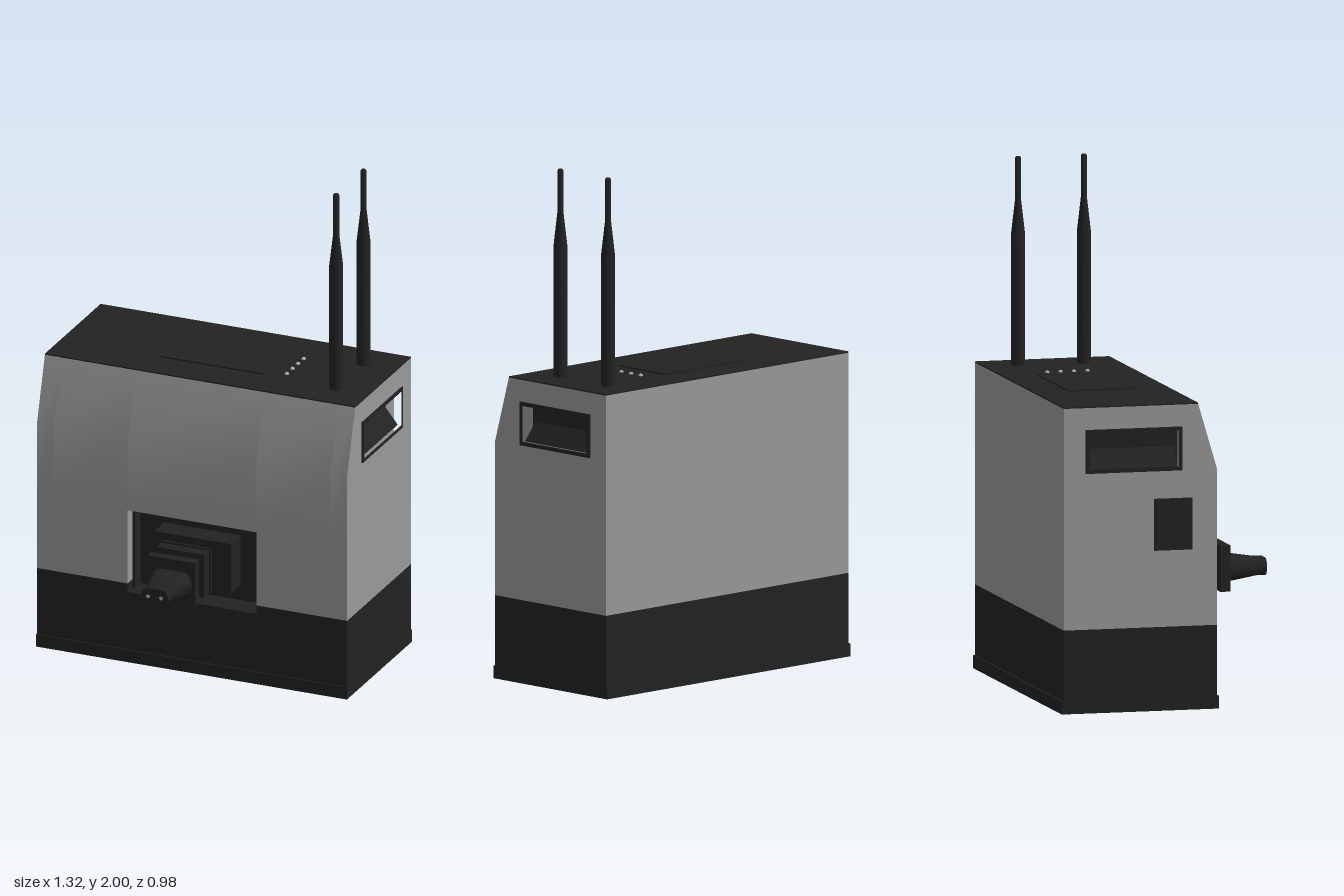
import * as THREE from 'three';
import { toCreasedNormals } from 'three/addons/utils/BufferGeometryUtils.js';

const mat = (name, color) => {
  const m = new THREE.MeshStandardMaterial({ color });
  m.name = name;
  return m;
};

export function createModel() {
  const grey = mat('shellGrey', 0x999999);
  const dark = mat('darkPlastic', 0x222222);
  const light = mat('lightMetal', 0xb0b0b0);
  const root = new THREE.Group();
  root.name = 'networkedPowerUnit';

  const add = (name, geo, material, parent = root) => {
    const m = new THREE.Mesh(geo, material);
    m.name = name;
    parent.add(m);
    return m;
  };
  // box given by its limits on each axis
  const box = (name, [x0, x1], [y0, y1], [z0, z1], material = dark, parent = root) => {
    const g = new THREE.BoxGeometry(x1 - x0, y1 - y0, z1 - z0);
    g.translate((x0 + x1) / 2, (y0 + y1) / 2, (z0 + z1) / 2);
    return add(name, g, material, parent);
  };
  const rectPath = (z0, z1, y0, y1) => [[z0, y0], [z1, y0], [z1, y1], [z0, y1]];
  const toPoints = pts => pts.map(([z, y]) => new THREE.Vector2(-z, y));
  // side profile (z, y) extruded along x
  const slab = (name, pts, x0, x1, material, hole, parent = root) => {
    const shape = new THREE.Shape(toPoints(pts));
    if (hole) shape.holes.push(new THREE.Path(toPoints(hole)));
    const g = new THREE.ExtrudeGeometry(shape, { depth: x1 - x0, bevelEnabled: false });
    g.rotateY(Math.PI / 2);
    g.translate(x0, 0, 0);
    return add(name, toCreasedNormals(g, 0.5), material, parent);
  };

  // grey shell, in slices around the front socket bay and the side grips
  const upper = [[0.13, 0.63], [0.13, 0.93], [0.055, 1.185], [-0.48, 1.185], [-0.48, 0.325]];
  const full = [[0.13, 0.325], ...upper];
  const notched = [[0.02, 0.325], [0.02, 0.63], ...upper];
  const gripHole = rectPath(-0.39, -0.005, 0.93, 1.1);
  slab('shellMiddle', notched, -0.27, 0.27, grey);
  slab('shellLeft', full, 0.27, 0.58, grey);
  slab('shellRight', full, -0.58, -0.27, grey);
  slab('shellLeftSide', full, 0.58, 0.65, grey, gripHole);
  slab('shellRightSide', full, -0.65, -0.58, grey, gripHole);
  box('topPanel', [-0.65, 0.65], [1.185, 1.19], [-0.48, 0.054]);

  // dark base with the lower edge of the socket bay, and its plinth
  for (const [a, b] of [[-0.65, -0.27], [0.27, 0.65]])
    box('baseSide', [a, b], [0.05, 0.325], [-0.48, 0.13]);
  slab('baseMiddle', [[0.13, 0.05], [0.13, 0.29], [0.02, 0.29], [0.02, 0.325],
    [-0.48, 0.325], [-0.48, 0.05]], -0.27, 0.27, dark);
  box('plinth', [-0.652, 0.652], [0, 0.05], [-0.488, 0.137]);

  // socket bay lining
  box('bayBack', [-0.27, 0.27], [0.29, 0.63], [0.015, 0.03]);
  for (const s of [-1, 1]) {
    const x = s * 0.265;
    box('bayWall', [x - 0.005, x + 0.005], [0.29, 0.63], [0.02, 0.085]);
  }
  box('bayCeiling', [-0.27, 0.27], [0.62, 0.63], [0.02, 0.085]);
  box('socketBlock', [-0.16, 0.16], [0.355, 0.56], [0.02, 0.125]);

  // plug: shaft, flanges and tapered rounded nose
  const plug = new THREE.Group();
  plug.name = 'plug';
  root.add(plug);
  box('plugShaft', [-0.048, 0.048], [0.41, 0.5], [0.1, 0.33], dark, plug);
  for (const [z0, z1] of [[0.17, 0.18], [0.197, 0.243], [0.293, 0.332]])
    box('plugFlange', [-0.1, 0.1], [0.37, 0.55], [z0, z1], dark, plug);
  const nose = new THREE.Shape();
  nose.absarc(0.5, 0, 0.5, -Math.PI / 2, Math.PI / 2);
  nose.absarc(-0.5, 0, 0.5, Math.PI / 2, Math.PI * 1.5);
  const noseGeo = new THREE.ExtrudeGeometry(nose,
    { depth: 3, steps: 3, bevelEnabled: false, curveSegments: 12 });
  const sections = [[0.33, 0.088, 0.052], [0.44, 0.06, 0.036], [0.45, 0.057, 0.034], [0.49, 0.057, 0.034]];
  const p = noseGeo.attributes.position;
  for (let i = 0; i < p.count; i++) {
    const [z, w, h] = sections[Math.round(p.getZ(i))];
    p.setXYZ(i, p.getX(i) * w, 0.453 + p.getY(i) * 2 * h, z);
  }
  add('plugNose', toCreasedNormals(noseGeo, 0.6), dark, plug);
  for (const s of [-1, 1]) {
    const ring = add('plugContactRing', new THREE.TorusGeometry(0.014, 0.003, 8, 20), dark, plug);
    ring.position.set(s * 0.027, 0.453, 0.488);
    const pin = add('plugContact', new THREE.CircleGeometry(0.008, 16), light, plug);
    pin.position.set(s * 0.027, 0.453, 0.4905);
  }

  // recessed side grips
  for (const s of [-1, 1]) {
    const grip = new THREE.Group();
    grip.name = s > 0 ? 'leftGrip' : 'rightGrip';
    root.add(grip);
    const span = (a, b) => (s > 0 ? [a, b] : [-b, -a]);
    slab('gripFrame', rectPath(-0.393, -0.008, 0.93, 1.1), ...span(0.58, 0.655), dark,
      rectPath(-0.377, -0.024, 0.945, 1.085), grip);
    box('gripBack', span(0.575, 0.583), [0.93, 1.1], [-0.39, -0.01], dark, grip);
    // sloping floor of the recess
    const wedge = new THREE.Shape([[0.58, 0.945], [0.64, 0.945], [0.58, 1.02]]
      .map(([x, y]) => new THREE.Vector2(s * x, y)));
    const g = new THREE.ExtrudeGeometry(wedge, { depth: 0.353, bevelEnabled: false });
    g.translate(0, 0, -0.377);
    add('gripSlope', g, dark, grip);
  }

  // double rocker switch on the right side
  box('switchPlate', [-0.656, -0.648], [0.622, 0.823], [-0.12, 0.03]);
  for (const z of [-0.08, -0.01])
    box('switchRocker', [-0.661, -0.655], [0.635, 0.81], [z - 0.032, z + 0.032]);

  // display and indicator lights on the top
  box('display', [-0.235, 0.205], [1.188, 1.196], [-0.35, -0.09]);
  for (const z of [-0.293, -0.24, -0.187, -0.133]) {
    const led = add('indicatorLight', new THREE.SphereGeometry(0.009, 12, 8), light);
    led.position.set(0.282, 1.19, z);
  }

  // pair of antennas
  const profile = [[0.027, 1.185], [0.027, 1.7], [0.012, 1.83], [0.012, 1.994], [0.008, 2], [0, 2]]
    .map(([r, y]) => new THREE.Vector2(r, y));
  for (const z of [-0.347, -0.085]) {
    const a = add('antenna', toCreasedNormals(new THREE.LatheGeometry(profile, 20), 0.6), dark);
    a.position.set(0.51, 0, z);
  }
  return root;
}
